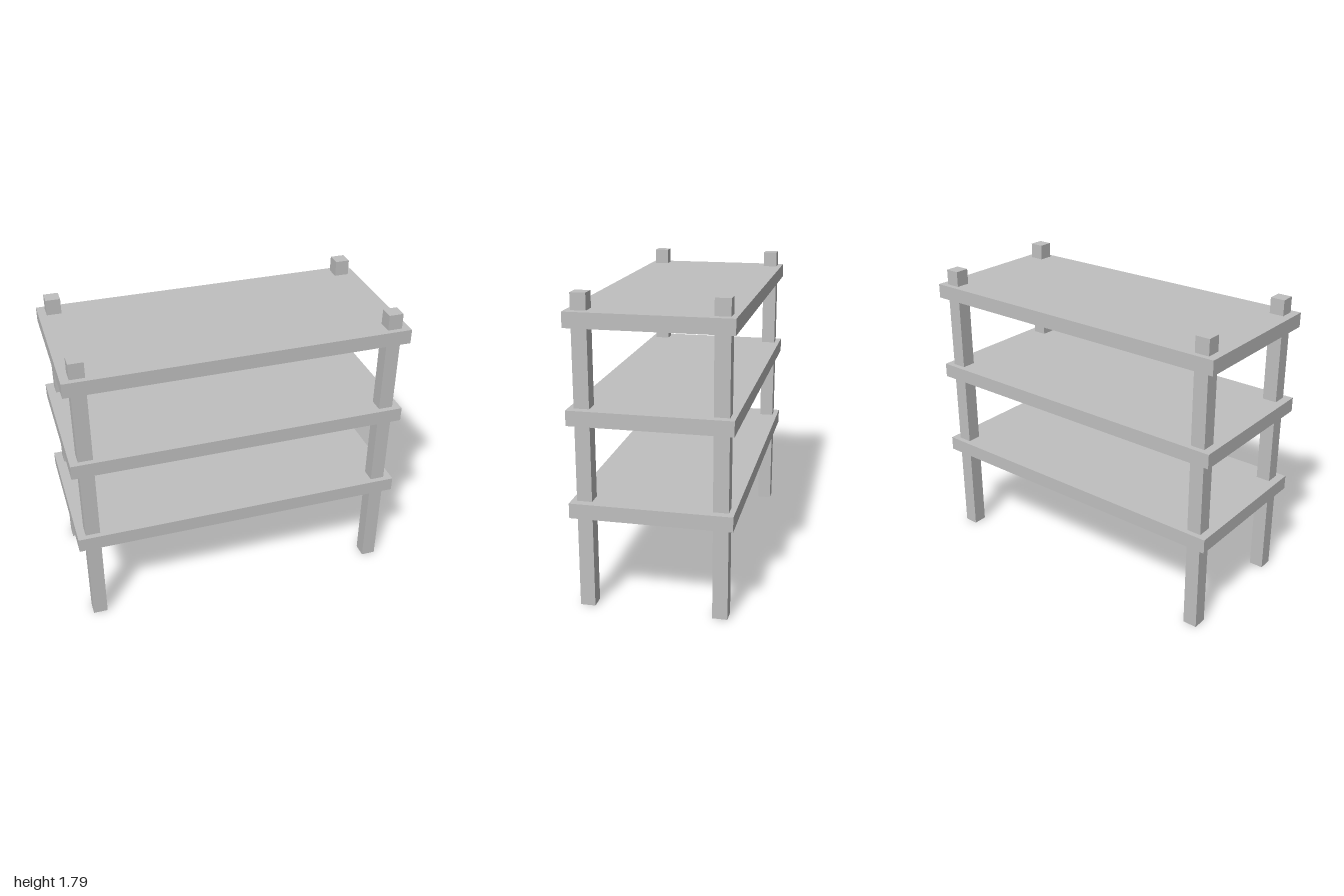
import * as THREE from 'three';

export function createModel() {
  const group = new THREE.Group();
  group.name = 'shelfUnit';

  const grey = new THREE.MeshStandardMaterial({ color: 0xbfbfbf });
  grey.name = 'plain grey';

  const THICK = 0.086; // shelf thickness and post width
  const HEIGHT = 1.787;

  // Three identical shelves, evenly spaced
  const shelfGeometry = new THREE.BoxGeometry(2, THICK, 0.91);
  ['lowerShelf', 'middleShelf', 'upperShelf'].forEach((name, i) => {
    const shelf = new THREE.Mesh(shelfGeometry, grey);
    shelf.name = name;
    shelf.position.y = 0.591 + i * 0.53;
    group.add(shelf);
  });

  // Four square corner posts passing through the shelves
  const postGeometry = new THREE.BoxGeometry(THICK, HEIGHT, THICK);
  for (const [sideName, x] of [['Left', 0.909], ['Right', -0.909]]) {
    for (const [endName, z] of [['front', 0.38], ['back', -0.38]]) {
      const post = new THREE.Mesh(postGeometry, grey);
      post.name = `${endName}${sideName}Post`;
      post.position.set(x, HEIGHT / 2, z);
      group.add(post);
    }
  }

  return group;
}
